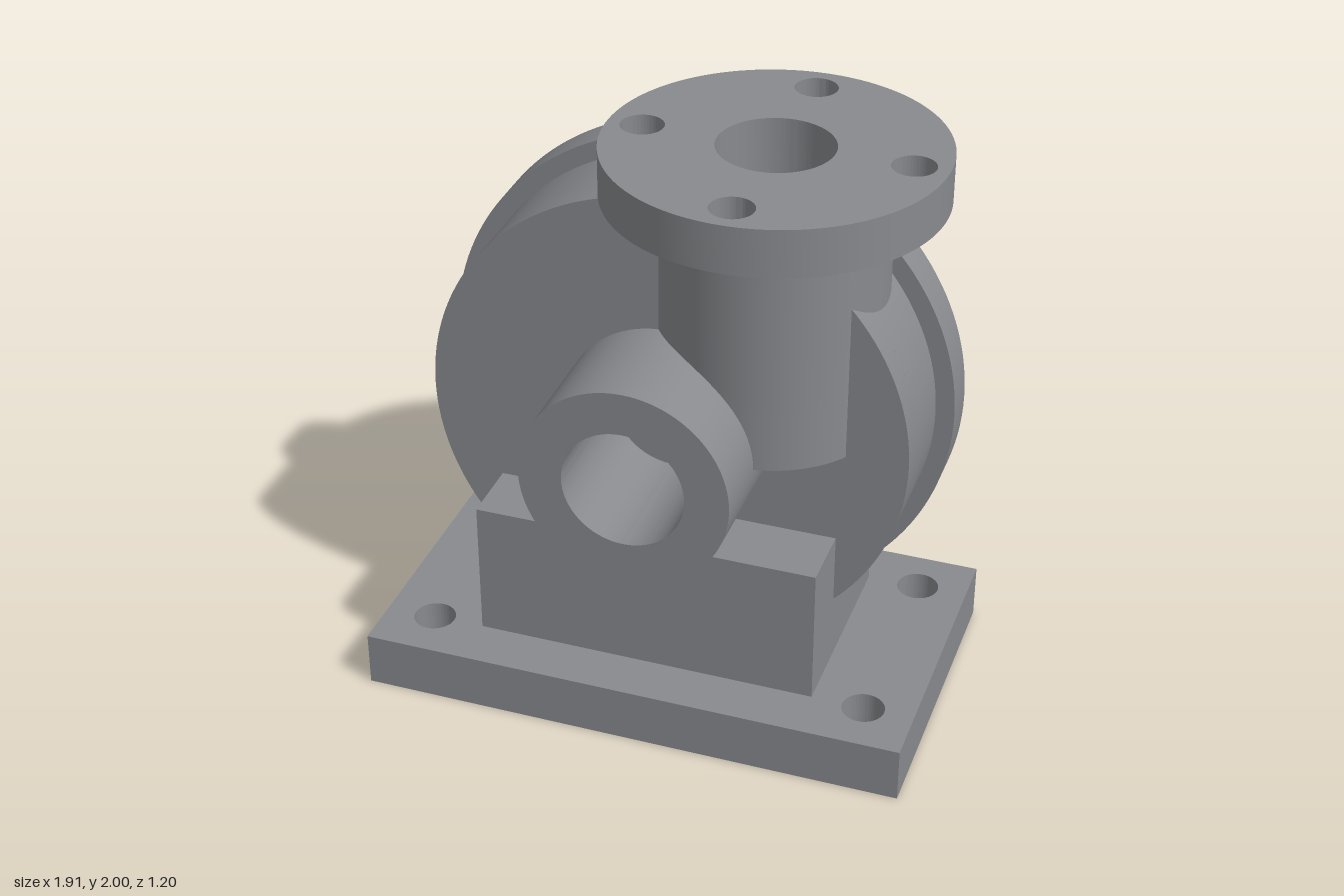
import * as THREE from 'three';
import { toCreasedNormals } from 'three/addons/utils/BufferGeometryUtils.js';

const CY = 1.02;                 // height of the casing axis
const PX = 0.3, PZ = -0.03;      // axis of the outlet pipe
const TAU = Math.PI * 2;

const circle = (x, y, r, Type = THREE.Path) => new Type().absarc(x, y, r, 0, TAU, false);
const disc = (r, holes = []) => {
  const s = circle(0, 0, r, THREE.Shape);
  s.holes.push(...holes);
  return s;
};
const ring = (r, bore, holes = []) => disc(r, [circle(0, 0, bore), ...holes]);
const rect = (Type, x0, y0, x1, y1) => new Type()
  .moveTo(x0, y0).lineTo(x1, y0).lineTo(x1, y1).lineTo(x0, y1).closePath();

// Ring left open between two angles, where the outlet pipe passes through
function openRing(r, bore, from, to) {
  const s = new THREE.Shape();
  s.absarc(0, 0, r, to, from + TAU, false);
  s.absarc(0, 0, bore, from + TAU, to, true);
  s.closePath();
  return s;
}

export function createModel() {
  const model = new THREE.Group();
  model.name = 'pumpCasing';
  const castIron = new THREE.MeshStandardMaterial({ color: 0x888a8e });
  castIron.name = 'castIron';

  const extrude = (shape, depth) => toCreasedNormals(
    new THREE.ExtrudeGeometry(shape, { depth, bevelEnabled: false, curveSegments: 72 }), 0.6);
  const add = (parent, name, geometry) => {
    const mesh = new THREE.Mesh(geometry, castIron);
    mesh.name = name;
    parent.add(mesh);
  };
  // Extrusion along z, drawn around the casing axis
  const alongZ = (parent, name, shape, z0, z1) =>
    add(parent, name, extrude(shape, z1 - z0).translate(0, CY, z0));
  // Extrusion upward; the shape's y is -z
  const alongY = (parent, name, shape, y0, y1, x = 0, z = 0) =>
    add(parent, name, extrude(shape, y1 - y0).rotateX(-Math.PI / 2).translate(x, y0, z));
  const group = (name) => {
    const g = new THREE.Group();
    g.name = name;
    model.add(g);
    return g;
  };

  // Base plate with four bolt holes and a recess underneath
  const base = group('base');
  const basePlate = (recessed) => {
    const s = rect(THREE.Shape, -0.955, -0.6, 0.955, 0.48);
    for (const x of [-0.78, 0.78]) for (const y of [-0.415, 0.31]) s.holes.push(circle(x, y, 0.073));
    if (recessed) s.holes.push(rect(THREE.Path, -0.7, -0.34, 0.7, 0.23));
    return s;
  };
  alongY(base, 'baseRim', basePlate(true), 0, 0.11);
  alongY(base, 'baseTop', basePlate(false), 0.11, 0.195);

  // Pedestal: a block in front and a saddle under the drum
  const pedestal = group('pedestal');
  alongZ(pedestal, 'pedestalFront', rect(THREE.Shape, -0.6, -0.83, 0.6, -0.33), 0.17, 0.415);
  const a = Math.acos(0.6 / 0.75);
  const saddle = new THREE.Shape().moveTo(-0.6, -0.83).lineTo(0.6, -0.83);
  saddle.absarc(0, 0, 0.75, -a, a - Math.PI, true);
  saddle.closePath();
  alongZ(pedestal, 'pedestalSaddle', saddle, -0.305, 0.18);

  // Drum: front wall, hollow barrel and bolted rear flange
  const drum = group('drum');
  alongZ(drum, 'frontWall', ring(0.835, 0.21), 0.165, 0.18);
  // Inner layer of the wall, cut away for the inlet and outlet bores
  const inner = new THREE.Shape();
  inner.absarc(0, 0, 0.835, Math.acos(0.14 / 0.835), Math.acos(0.46 / 0.835) + TAU, false);
  inner.lineTo(0.46, 0);
  inner.absarc(0, 0, 0.21, 0, Math.acos(0.14 / 0.21), true);
  inner.closePath();
  alongZ(drum, 'frontWallInner', inner, 0.09, 0.165);
  alongZ(drum, 'barrel', openRing(0.835, 0.65, Math.acos(0.77), Math.acos(0.05)), -0.17, 0.09);
  alongZ(drum, 'rearFlangeFront', openRing(0.9, 0.65, Math.acos(0.69), Math.acos(0.05)), -0.23, -0.17);
  const bolts = [0, 2, 3, 4, 5].map((i) =>
    circle(0.77 * Math.cos(i * TAU / 6), 0.77 * Math.sin(i * TAU / 6), 0.04));
  alongZ(drum, 'rearFlangeBack', ring(0.9, 0.65, bolts), -0.31, -0.23);

  // Inlet boss, with a partial floor at the end of its bore
  const inlet = group('inlet');
  alongZ(inlet, 'inletBoss', ring(0.36, 0.21), 0.175, 0.6);
  const b = Math.acos(0.17 / 0.21);
  const floor = new THREE.Shape();
  floor.absarc(0, 0, 0.21, b, TAU - b, false);
  floor.closePath();
  alongZ(inlet, 'inletFloor', floor, 0.09, 0.105);

  // Outlet pipe; its lower end is notched where the inlet bore meets it
  const outlet = group('outlet');
  const R = 0.385, r = 0.195, nx = -0.09, ny = -0.13;
  const lower = new THREE.Shape();
  lower.absarc(0, 0, R, Math.atan2(-Math.sqrt(R * R - nx * nx), nx),
    Math.atan2(ny, -Math.sqrt(R * R - ny * ny)) + TAU, false);
  lower.absarc(0, 0, r, Math.atan2(ny, -Math.sqrt(r * r - ny * ny)),
    Math.atan2(-Math.sqrt(r * r - nx * nx), nx), true);
  lower.closePath();
  alongY(outlet, 'pipeLower', lower, CY, 1.24, PX, PZ);
  alongY(outlet, 'pipeUpper', ring(R, r), 1.24, 1.84, PX, PZ);
  const flangeHoles = [0, 1, 2, 3].map((i) =>
    circle(0.45 * Math.cos(i * TAU / 4), 0.45 * Math.sin(i * TAU / 4), 0.073));
  alongY(outlet, 'topFlange', ring(0.567, r, flangeHoles), 1.835, 2, PX, PZ);

  return model;
}
